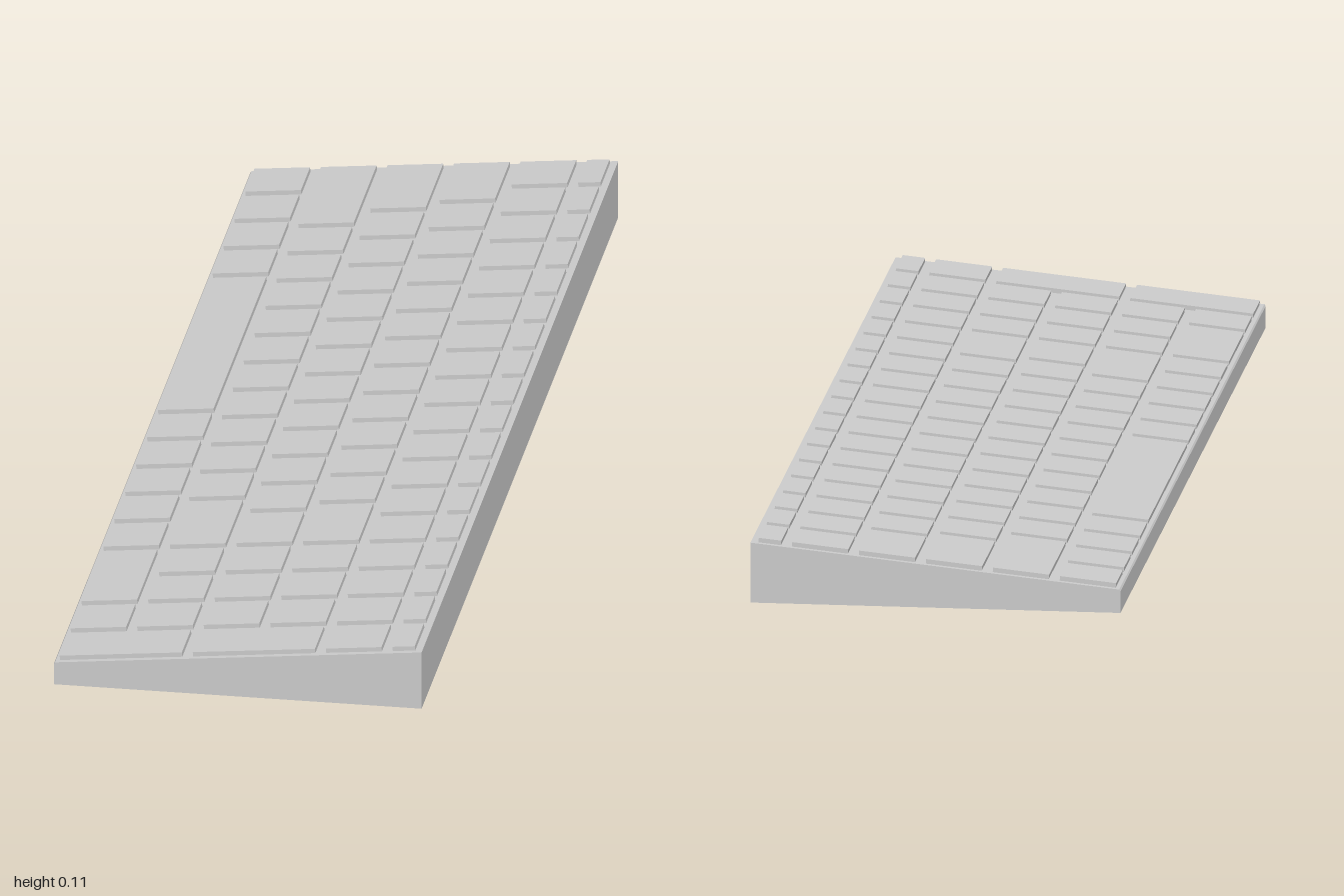
import * as THREE from 'three';

const U = 0.11;              // key pitch
const W = 0.605, L = 1.98;   // depth and length of the case
const LOW = 0.039, HIGH = 0.1;
const GAP = 0.018, KEY_H = 0.008;

const ones = n => Array(n).fill(1);

// Key widths per row, from the space-bar row up to the function row
const ROWS = [
  [1, 1, 1, 1, 5, ...ones(5), 2, 1],
  [2.25, ...ones(10), 1.75, ...ones(3)],
  [1.75, ...ones(11), 1.25, ...ones(3)],
  [1.5, ...ones(11), 1.5, ...ones(3)],
  ones(18),
  ones(18),
];

export function createModel() {
  const model = new THREE.Group();
  model.name = 'keyboard';
  const mat = new THREE.MeshStandardMaterial({ color: 0xcccccc, flatShading: true });

  // Wedge-shaped case
  const profile = new THREE.Shape([
    new THREE.Vector2(-W / 2, 0),
    new THREE.Vector2(W / 2, 0),
    new THREE.Vector2(W / 2, HIGH),
    new THREE.Vector2(-W / 2 + 0.002, LOW),
    new THREE.Vector2(-W / 2, LOW - 0.003),
  ]);
  const caseGeo = new THREE.ExtrudeGeometry(profile, { depth: L, bevelEnabled: false });
  caseGeo.translate(0, 0, -L / 2);
  const body = new THREE.Mesh(caseGeo, mat);
  body.name = 'case';
  model.add(body);

  // Keys lie in a group tilted to the sloping top; its x runs up the slope
  const keys = new THREE.Group();
  keys.name = 'keys';
  keys.position.set(-W / 2, LOW - 0.0005, 0);
  keys.rotation.z = Math.atan2(HIGH - LOW, W);
  model.add(keys);

  // x, z: start of the key's cell in units; d: cell depth; w: cell width
  const addKey = (name, x, z, d, w) => {
    const geo = new THREE.BoxGeometry(d * U - GAP, KEY_H, w * U - GAP);
    const key = new THREE.Mesh(geo, mat);
    key.name = name;
    key.position.set((x + d / 2) * U, KEY_H / 2, (z + w / 2) * U - L / 2);
    keys.add(key);
  };

  ROWS.forEach((widths, row) => {
    const depth = row === 5 ? 0.5 : 1;
    let z = 0;
    for (const w of widths) {
      // the last number-pad column of the lower rows holds the tall keys
      if (!(row === 0 && z >= 17)) {
        addKey(row === 5 ? 'functionKey' : w === 5 ? 'spaceBar' : 'key', row, z, depth, w);
      }
      z += w;
    }
  });

  // Double-height number-pad keys
  for (const row of [0, 2]) addKey('tallKey', row, 17, 2, 1);

  // The whole keyboard is turned slightly
  model.rotation.y = -0.0325;
  const root = new THREE.Group();
  root.add(model);
  return root;
}
